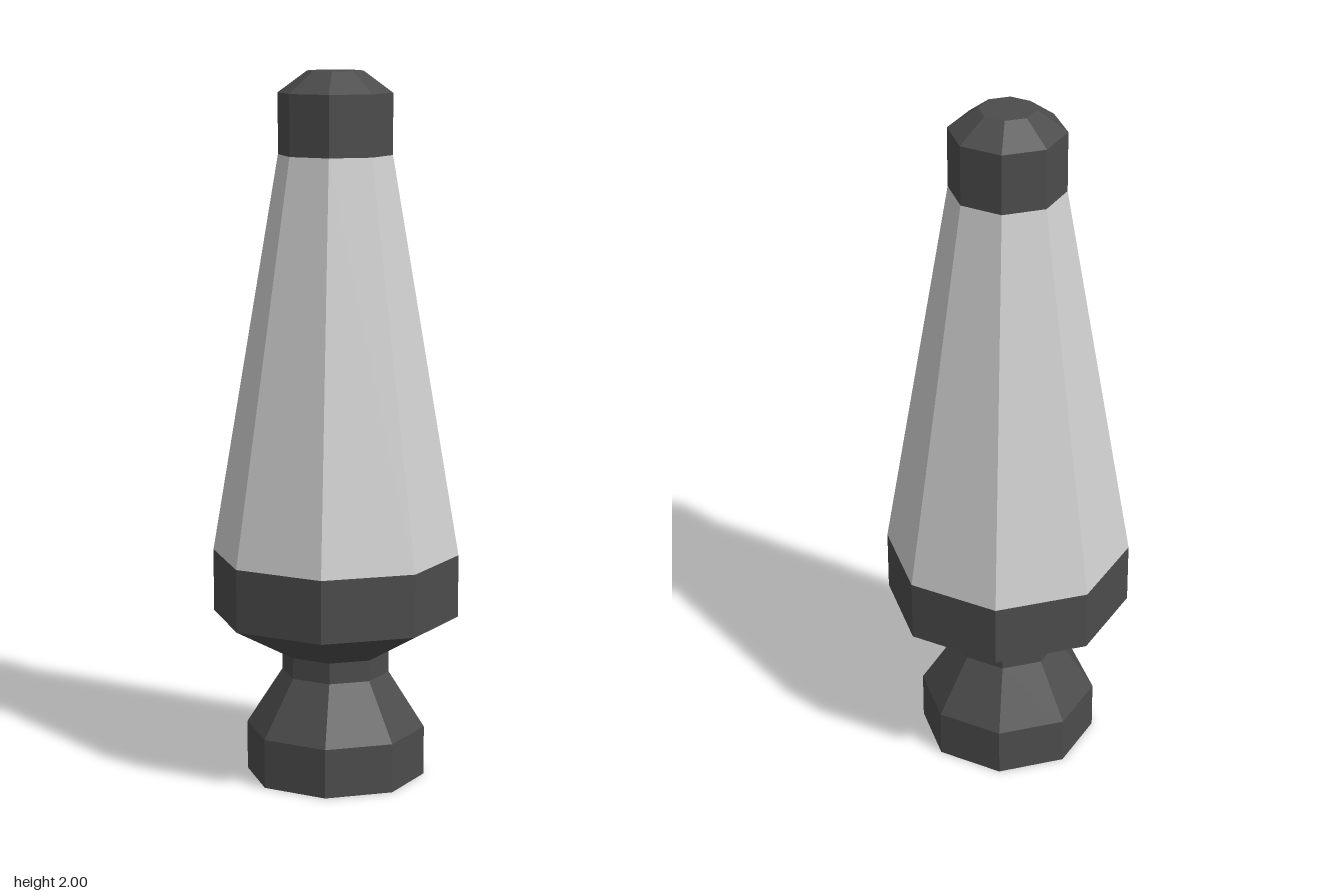
import * as THREE from 'three';

// Eight-sided faceted shell turned from [radius, height] pairs, bottom to top
function turned(name, profile, material) {
  const points = profile.map(([r, y]) => new THREE.Vector2(r, y));
  const mesh = new THREE.Mesh(new THREE.LatheGeometry(points, 8), material);
  mesh.name = name;
  return mesh;
}

export function createModel() {
  const metal = new THREE.MeshStandardMaterial({ color: 0x4c4c4c, flatShading: true, side: THREE.DoubleSide });
  metal.name = 'dark metal';
  const glass = new THREE.MeshStandardMaterial({ color: 0xd0d0d0, flatShading: true, side: THREE.DoubleSide });
  glass.name = 'pale glass';

  const lamp = new THREE.Group();
  lamp.name = 'lamp';
  lamp.add(
    // Hollow foot, open underneath, narrowing to the neck
    turned('foot', [[0.255, 0], [0.255, 0.14], [0.153, 0.3], [0.153, 0.36]], metal),
    // Flared cup that holds the glass
    turned('cup', [[0.153, 0.36], [0.35, 0.467], [0.35, 0.645]], metal),
    // Tapered body
    turned('glassBody', [[0.35, 0.645], [0.16, 1.77]], glass),
    // Bevelled cap with a flat top
    turned('cap', [[0.16, 1.77], [0.16, 1.94], [0.078, 2], [0, 2]], metal),
  );
  return lamp;
}
